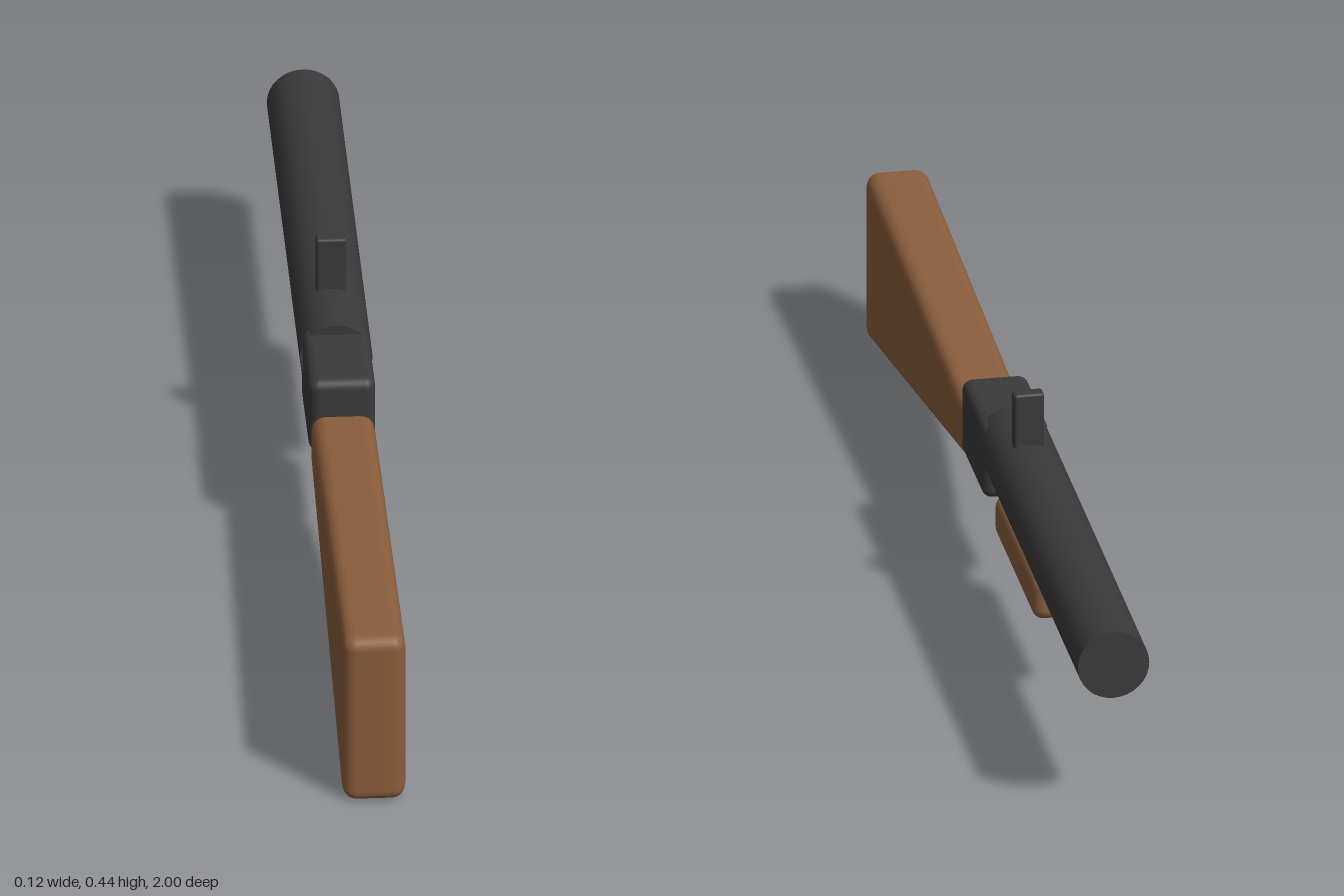
import * as THREE from 'three';
import { mergeVertices } from 'three/addons/utils/BufferGeometryUtils.js';
import { RoundedBoxGeometry } from 'three/addons/geometries/RoundedBoxGeometry.js';

export function createModel() {
  const model = new THREE.Group();
  model.name = 'longGun';
  const metal = new THREE.MeshStandardMaterial({ name: 'darkMetal', color: 0x3a3a3a });
  const wood = new THREE.MeshStandardMaterial({ name: 'brownWood', color: 0x8b5e3c });

  function add(name, geometry, material) {
    const mesh = new THREE.Mesh(geometry, material);
    mesh.name = name;
    model.add(mesh);
    return mesh;
  }

  // Rounded block given by its width and its y and z ranges
  function block(width, y0, y1, z0, z1, radius, segments = 3) {
    return new RoundedBoxGeometry(width, y1 - y0, z1 - z0, segments, radius)
      .translate(0, (y0 + y1) / 2, (z0 + z1) / 2);
  }

  // Barrel, closed at both ends
  const barrel = new THREE.CylinderGeometry(0.062, 0.062, 0.93, 32);
  barrel.rotateX(Math.PI / 2).translate(0, 0.289, -0.535);
  add('barrel', barrel, metal);

  // Receiver, rear sight and the flat trigger guard
  add('receiver', block(0.114, 0.195, 0.333, -0.108, 0.1, 0.018), metal);
  add('sight', block(0.052, 0.33, 0.445, -0.23, -0.204, 0.005), metal);
  add('triggerGuard', block(0.036, 0.139, 0.149, 0.038, 0.168, 0.004, 2), metal);

  // Fore-end under the barrel
  add('foreEnd', block(0.1, 0.16, 0.237, -0.535, -0.165, 0.02), wood);

  // Stock: a rounded block whose top rises and bottom drops towards the butt
  let stock = block(0.108, 0.18, 0.275, 0.1, 1, 0.024);
  const p = stock.attributes.position;
  for (let i = 0; i < p.count; i++) {
    const t = (p.getZ(i) - 0.1) / 0.9;
    const y = p.getY(i);
    p.setY(i, y + (y > 0.2275 ? 0.038 : -0.184) * t);
  }
  stock.deleteAttribute('normal');
  stock.deleteAttribute('uv');
  stock.clearGroups();
  stock = mergeVertices(stock, 1e-5);
  stock.computeVertexNormals();
  add('stock', stock, wood);

  return model;
}
